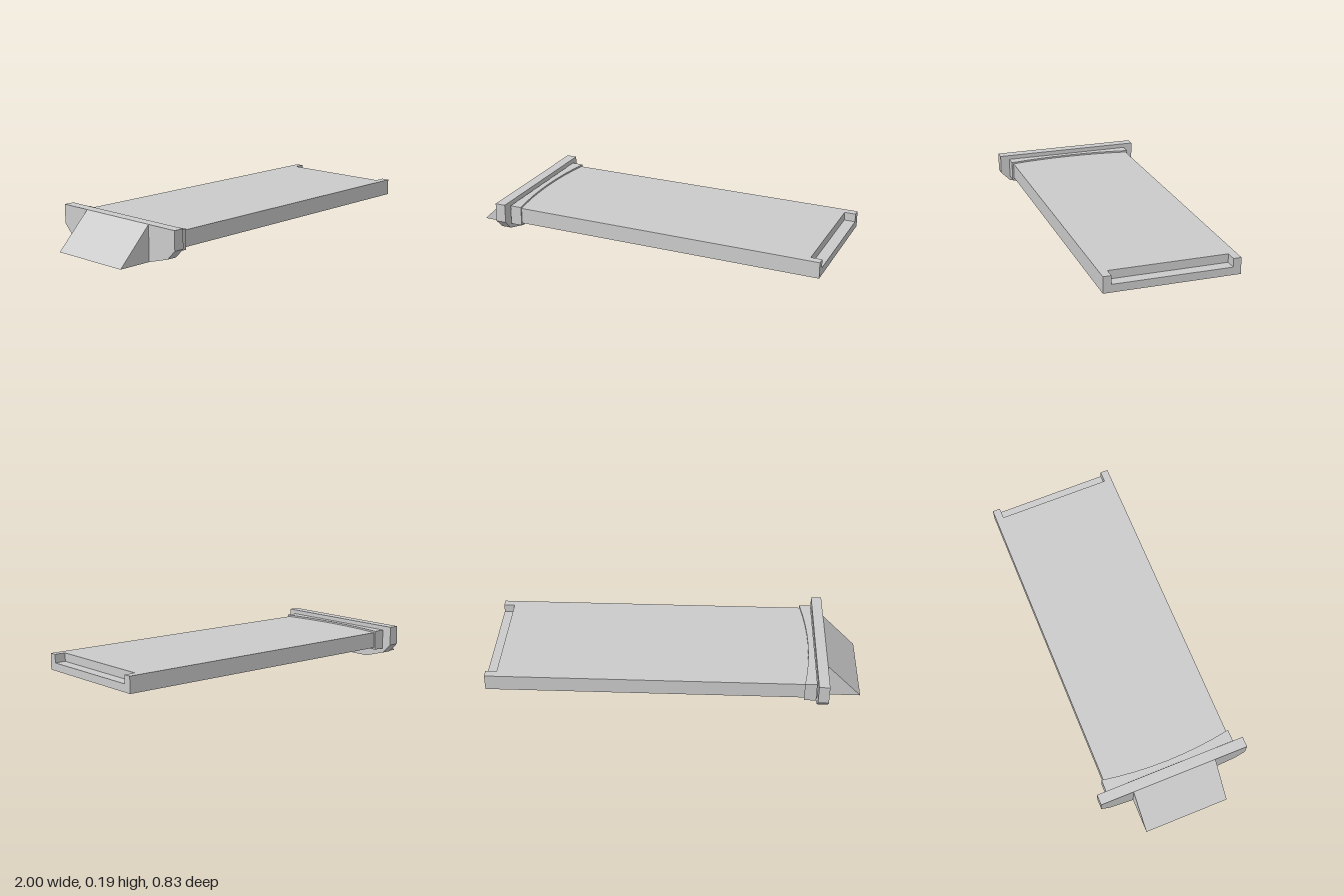
import * as THREE from 'three';

export function createModel() {
  const model = new THREE.Group();
  const material = new THREE.MeshStandardMaterial({ color: 0xcccccc, flatShading: true });

  const add = (name, geometry) => {
    const mesh = new THREE.Mesh(geometry, material);
    mesh.name = name;
    model.add(mesh);
  };

  const extrude = (points, depth) => new THREE.ExtrudeGeometry(
    new THREE.Shape(points.map(([a, b]) => new THREE.Vector2(a, b))),
    { depth, bevelEnabled: false });

  // Plan outline (x, z), symmetric in z, raised from y0 to y1
  const plan = (points, y0, y1) =>
    extrude(points, y1 - y0).rotateX(-Math.PI / 2).translate(0, y0, 0);

  // Outline in (z, y) given for one half, mirrored and run from x0 to x1
  const crossPlate = (half, x0, x1) => {
    const mirrored = half.map(([z, y]) => [-z, y]).reverse();
    return extrude([...half, ...mirrored], x1 - x0).rotateY(Math.PI / 2).translate(x0, 0, 0);
  };

  // Flat body: full lower layer, upper layer with a recess at the +x end
  const bodyStart = -0.78, w = 0.352, notchW = 0.31, notchX = 0.94;
  const bottom = 0.072, floor = 0.114, top = 0.159;
  add('bodyLower', plan([[bodyStart, -w], [1, -w], [1, w], [bodyStart, w]], bottom, floor));
  add('bodyUpper', plan([
    [bodyStart, -w], [1, -w], [1, -notchW], [notchX, -notchW],
    [notchX, notchW], [1, notchW], [1, w], [bodyStart, w],
  ], floor, top));

  // Collar with a shallow concave edge
  const collarW = 0.362;
  const collar = [[-0.752, collarW], [-0.752, -collarW]];
  for (let i = 0; i <= 8; i++) {
    const t = i / 4 - 1;
    collar.push([-0.72 + 0.032 * t * t, collarW * t]);
  }
  add('collar', plan(collar, 0.062, 0.168));

  // Flange with chamfered lower corners
  add('flange', crossPlate(
    [[0.232, 0], [0.363, 0.037], [0.414, 0.088], [0.414, 0.19]], -0.814, -0.757));

  // Wedge-shaped grip sloping down behind the flange
  const wedgeW = 0.232;
  add('wedgeGrip', extrude([[-1, 0], [-0.814, 0], [-0.814, 0.19]], wedgeW * 2)
    .translate(0, 0, -wedgeW));

  return model;
}
